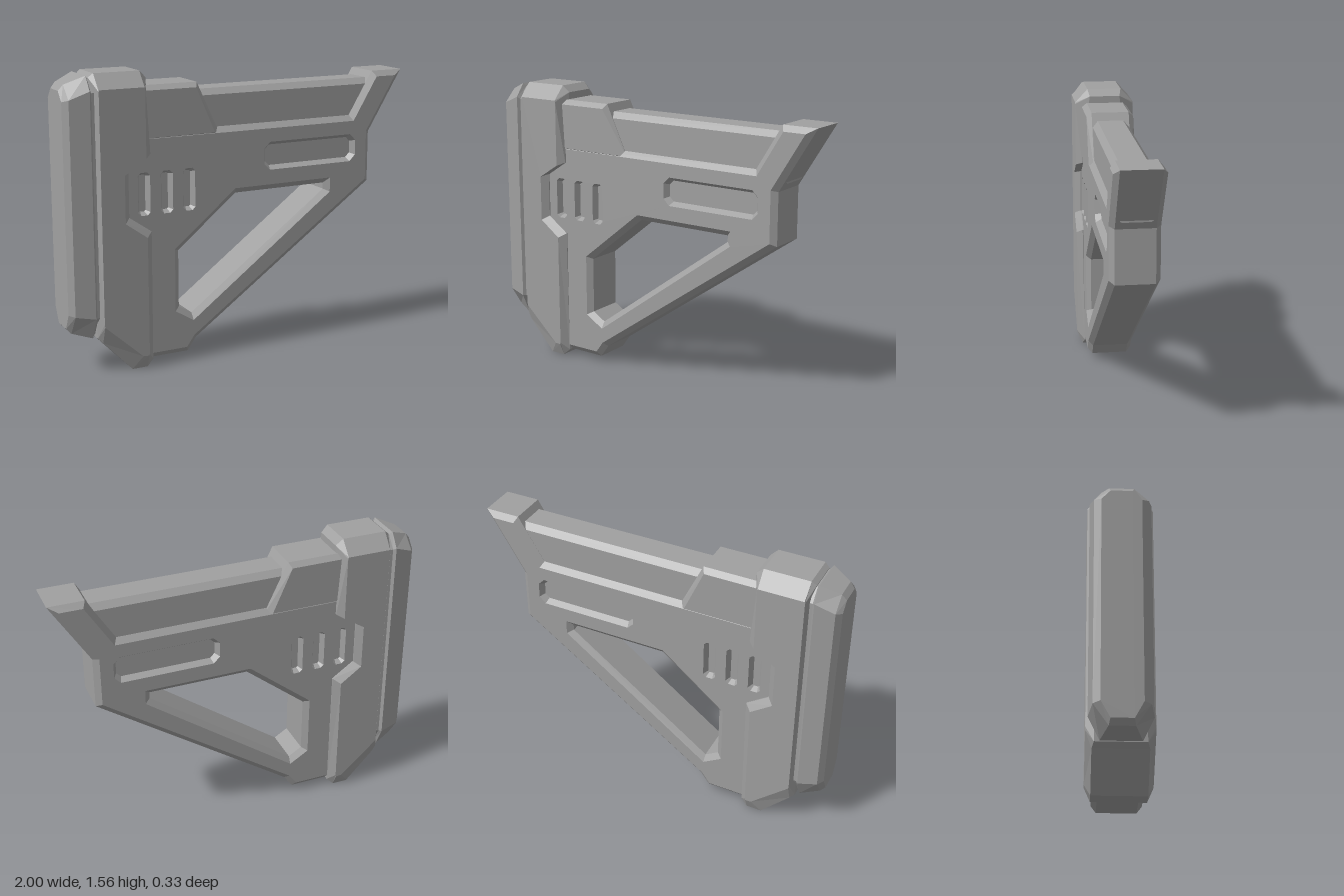
import * as THREE from 'three';

const grey = new THREE.MeshStandardMaterial({ color: 0xa0a0a0 });
grey.name = 'stockGrey';

// Miter offset of a loop towards its left-hand side
function inset(loop, d) {
  const n = loop.length;
  const normal = (a, b) => {
    const l = Math.hypot(b[0] - a[0], b[1] - a[1]);
    return [-(b[1] - a[1]) / l, (b[0] - a[0]) / l];
  };
  return loop.map((p, i) => {
    const u = normal(loop[(i + n - 1) % n], p), v = normal(p, loop[(i + 1) % n]);
    const k = d / (1 + u[0] * v[0] + u[1] * v[1]);
    return [p[0] + (u[0] + v[0]) * k, p[1] + (u[1] + v[1]) * k];
  });
}
const atZ = (loop, z) => loop.map(p => [p[0], p[1], z]);

function meshFrom(name, pos) {
  const g = new THREE.BufferGeometry();
  g.setAttribute('position', new THREE.Float32BufferAttribute(pos, 3));
  g.computeVertexNormals();
  const m = new THREE.Mesh(g, grey);
  m.name = name;
  return m;
}

// Solid mirrored in z: flat side faces, a bevel to the edge loop, optional openings.
// Each opening is { face, rim, through }, with clockwise loops.
function bevelSolid(name, edge, face, openings = []) {
  const pos = [];
  const tri = (a, b, c) => {
    pos.push(...a, ...b, ...c);
    for (const p of [c, b, a]) pos.push(p[0], p[1], -p[2]);
  };
  const band = (A, B) => A.forEach((a, i) => {
    const j = (i + 1) % A.length;
    tri(a, A[j], B[j]);
    tri(a, B[j], B[i]);
  });
  const cap = (contour, holes) => {
    const all = [contour, ...holes].flat();
    const v = l => l.map(p => new THREE.Vector2(p[0], p[1]));
    for (const f of THREE.ShapeUtils.triangulateShape(v(contour), holes.map(v))) {
      const [a, b, c] = f.map(i => all[i]);
      const area = (b[0] - a[0]) * (c[1] - a[1]) - (b[1] - a[1]) * (c[0] - a[0]);
      if (area > 0) tri(a, b, c); else tri(a, c, b);
    }
  };
  band(atZ(edge, 0), edge);
  band(edge, face);
  cap(face, openings.map(o => o.face));
  for (const o of openings) {
    band(o.rim, o.face);
    if (o.through) band(atZ(o.rim, 0), o.rim);
    else cap([...o.rim].reverse(), []);
  }
  return meshFrom(name, pos);
}

// Chamfered rectangle, counter-clockwise
const slot = (x0, x1, y0, y1, c) => [
  [x0 + c, y0], [x1 - c, y0], [x1, y0 + c], [x1, y1 - c],
  [x1 - c, y1], [x0 + c, y1], [x0, y1 - c], [x0, y0 + c]];

function opening(loop, faceZ, rimZ, bevel, through) {
  const cw = [...loop].reverse();
  return { face: atZ(cw, faceZ), rim: atZ(inset(cw, -bevel), rimZ), through };
}

// Main frame with the triangular window, vents and long side recess
function frame() {
  const Z = 0.126, E = 0.1;
  const outline = [
    [-0.78, 0.25], [-0.62, 0.035], [-0.335, 0.035], [-0.285, 0.105], [0.79, 0.86],
    [0.79, 1.14], [0.997, 1.477], [0.805, 1.477], [0.66, 1.24], [-0.78, 1.24]];
  const triangle = [
    [-0.415, 0.275], [-0.31, 0.21], [0.53, 0.825], [0.53, 0.905], [-0.058, 0.905], [-0.415, 0.615]];
  const openings = [opening(triangle, Z, E, 0.03, true),
    opening(slot(0.115, 0.69, 0.985, 1.137, 0.035), Z, 0.095, 0.02, false)];
  for (const x of [-0.583, -0.456, -0.329])
    openings.push(opening(slot(x - 0.034, x + 0.034, 0.815, 1.04, 0.016), Z, 0.095, 0.016, false));
  return bevelSolid('frame', atZ(outline, E), atZ(inset(outline, 0.03), Z), openings);
}

// Wide collar with a notch in its forward edge: [edge x, y, z, face x, y]
function collar() {
  const rows = [
    [-0.855, 0.195, 0.125, -0.83, 0.28], [-0.83, 0.17, 0.135, -0.828, 0.262],
    [-0.67, 0, 0.135, -0.62, 0.072], [-0.585, 0, 0.135, -0.587, 0.07],
    [-0.548, 0.035, 0.125, -0.584, 0.08], [-0.548, 0.73, 0.132, -0.584, 0.707],
    [-0.67, 0.815, 0.132, -0.703, 0.793], [-0.67, 1.055, 0.132, -0.703, 1.042],
    [-0.548, 1.135, 0.132, -0.584, 1.118], [-0.548, 1.52, 0.085, -0.584, 1.472],
    [-0.585, 1.556, 0.095, -0.587, 1.48], [-0.83, 1.556, 0.095, -0.828, 1.48],
    [-0.855, 1.535, 0.085, -0.83, 1.472]];
  return bevelSolid('collar', rows.map(r => r.slice(0, 3)), rows.map(r => [r[3], r[4], 0.165]));
}

// Butt pad lofted along x: [x, half width, top flat, top, top shoulder, bottom, bottom shoulder]
function pad() {
  const rings = [
    [-1, 0.1, 0.055, 1.475, 1.425, 0.25, 0.335],
    [-0.975, 0.135, 0.062, 1.505, 1.435, 0.222, 0.33],
    [-0.872, 0.155, 0.1, 1.547, 1.475, 0.192, 0.31],
    [-0.86, 0.14, 0.085, 1.53, 1.465, 0.207, 0.31],
    [-0.845, 0.14, 0.085, 1.53, 1.465, 0.207, 0.31],
  ].map(([x, w, f, t, ts, b, bs]) => [
    [x, b, f], [x, bs, w], [x, ts, w], [x, t, f],
    [x, t, -f], [x, ts, -w], [x, bs, -w], [x, b, -f]]);
  const pos = [];
  const tri = (a, b, c) => pos.push(...a, ...b, ...c);
  for (let r = 0; r < rings.length - 1; r++)
    for (let i = 0; i < 8; i++) {
      const j = (i + 1) % 8, A = rings[r], B = rings[r + 1];
      tri(A[i], B[i], B[j]);
      tri(A[i], B[j], A[j]);
    }
  const first = rings[0], last = rings[rings.length - 1];
  for (let i = 1; i < 7; i++) {
    tri(first[0], first[i], first[i + 1]);
    tri(last[0], last[i + 1], last[i]);
  }
  return meshFrom('buttPad', pos);
}

// Raised block between collar and top rail
function block() {
  const edge = [[-0.7, 1.2], [-0.138, 1.2], [-0.272, 1.482], [-0.7, 1.482]];
  const face = [[-0.68, 1.215], [-0.18, 1.215], [-0.286, 1.457], [-0.68, 1.457]];
  return bevelSolid('cheekBlock', atZ(edge, 0.102), atZ(face, 0.129));
}

// Narrow top rail with chamfered upper edges
function rail() {
  const edge = [[-0.35, 1.18], [0.82, 1.18], [0.82, 1.44], [-0.35, 1.44]];
  const face = [[-0.35, 1.2], [0.82, 1.2], [0.82, 1.408], [-0.35, 1.408]];
  return bevelSolid('topRail', atZ(edge, 0.07), atZ(face, 0.099));
}

export function createModel() {
  const group = new THREE.Group();
  group.name = 'shoulderStock';
  group.add(frame(), collar(), pad(), block(), rail());
  return group;
}
